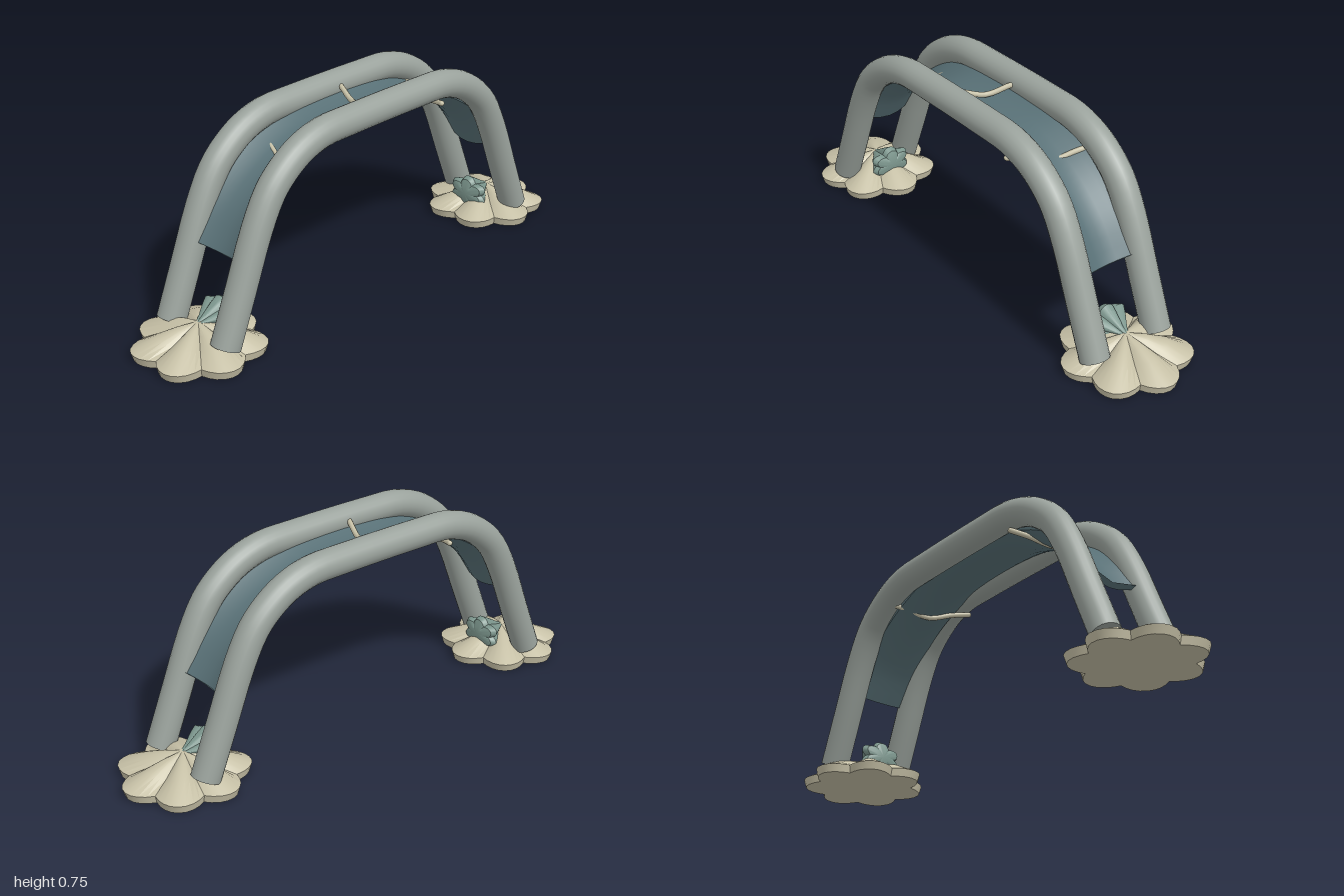
import * as THREE from 'three';
import { toCreasedNormals } from 'three/addons/utils/BufferGeometryUtils.js';

const V = (x, y, z = 0) => new THREE.Vector3(x, y, z);
const paint = (color) => new THREE.MeshStandardMaterial({ color, roughness: 0.9 });

// Skin a list of equal-sized rings (counter-clockwise about the travel direction) and cap both ends
function loft(rings, crease = 0.7) {
  const n = rings[0].length, last = (rings.length - 1) * n;
  const pts = rings.flat(), index = [];
  for (let i = 0; i < rings.length - 1; i++) {
    for (let j = 0; j < n; j++) {
      const a = i * n + j, b = i * n + (j + 1) % n;
      index.push(a, b, b + n, a, b + n, a + n);
    }
  }
  const centre = (ring) => ring.reduce((s, p) => s.add(p), V(0, 0)).divideScalar(n);
  const c0 = pts.push(centre(rings[0])) - 1;
  const c1 = pts.push(centre(rings[rings.length - 1])) - 1;
  for (let j = 0; j < n; j++) {
    const k = (j + 1) % n;
    index.push(c0, k, j, c1, last + j, last + k);
  }
  const geo = new THREE.BufferGeometry().setFromPoints(pts);
  geo.setIndex(index);
  return toCreasedNormals(geo, crease);
}

// Sweep a section of [normal, z] offsets along a path in the xy plane
function sweep(path, steps, section, crease) {
  const curve = new THREE.CatmullRomCurve3(path);
  const rings = [];
  for (let i = 0; i <= steps; i++) {
    const p = curve.getPoint(i / steps), t = curve.getTangent(i / steps);
    rings.push(section.map(([n, z]) => V(p.x - t.y * n, p.y + t.x * n, z)));
  }
  return loft(rings, crease);
}

// Complete a left-half profile with its mirror image
const arch = (half) => [
  ...half.map(([x, y]) => V(x, y)),
  ...half.slice().reverse().map(([x, y]) => V(-x, y)),
];

const TAU = Math.PI * 2;
const lobe = (a, count) => Math.abs(Math.cos(a * count / 2));

// Seven-lobed base with radial ridges rising to a low point
function footGeometry() {
  const layers = [[0.96, 0, 0], [1, 0.03, 0], [0.62, 0.064, 0.018], [0.32, 0.086, 0.012], [0.04, 0.101, 0]];
  return loft(layers.map(([s, y, ridge]) => Array.from({ length: 56 }, (_, j) => {
    const a = j / 56 * TAU, l = lobe(a, 7), r = (0.188 + 0.048 * l) * s;
    return V(r * Math.cos(a), y + ridge * (l - 0.6), -r * Math.sin(a));
  })), 0.4);
}

// Ribbed horn that flares along +x
function budGeometry() {
  const layers = [[-0.09, 0.04], [-0.05, 0.35], [0, 0.8], [0.025, 1], [0.045, 0.85], [0.055, 0.45]];
  return loft(layers.map(([x, s]) => Array.from({ length: 48 }, (_, j) => {
    const a = j / 48 * TAU, r = s * (0.72 + 0.28 * lobe(a + Math.PI / 6, 6));
    return V(x, 0.068 * r * Math.sin(a), -0.09 * r * Math.cos(a)).multiply(V(1, 1, -1));
  }).reverse()), 0.6);
}

export function createModel() {
  const group = new THREE.Group();
  const steel = paint(0x9aa29c), cloth = paint(0x587076), sand = paint(0xc6c0a6), green = paint(0x7d978e);
  const add = (name, geo, mat, x = 0, y = 0, z = 0) => {
    const mesh = new THREE.Mesh(geo, mat);
    mesh.name = name;
    mesh.position.set(x, y, z);
    group.add(mesh);
    return mesh;
  };

  // Twin arched tubes
  const round = Array.from({ length: 20 }, (_, j) => {
    const a = j / 20 * TAU;
    return [0.053 * Math.cos(a), 0.053 * Math.sin(a)];
  });
  const tubePath = arch([[-0.768, 0.06], [-0.69, 0.25], [-0.612, 0.44], [-0.55, 0.55],
    [-0.49, 0.61], [-0.41, 0.66], [-0.31, 0.69], [-0.18, 0.695]]);
  const tube = sweep(tubePath, 45, round, 0.9);
  add('leftSideTube', tube, steel, 0, 0, 0.138);
  add('rightSideTube', tube, steel, 0, 0, -0.138);

  // Sagging sheet slung between the tubes
  const zs = [-0.11, -0.08, -0.04, 0, 0.04, 0.08, 0.11];
  const sag = (z) => 0.028 * (z / 0.1) ** 2;
  const section = [
    ...zs.map((z) => [sag(z) + 0.006, z]),
    ...zs.slice().reverse().map((z) => [sag(z) - 0.006, z]),
  ];
  const sheetPath = arch([[-0.652, 0.318], [-0.575, 0.43], [-0.5, 0.505], [-0.42, 0.56],
    [-0.34, 0.598], [-0.22, 0.638], [-0.09, 0.652]]);
  add('slungSheet', sweep(sheetPath, 40, section, 0.7), cloth);

  // Slanted cross bars resting on the sheet
  for (const [x, low] of [[-0.38, 0.583], [-0.015, 0.678], [0.355, 0.583]]) {
    const path = [[-0.15, 0.037], [-0.085, 0.024], [0, 0], [0.085, 0.024], [0.15, 0.037]]
      .map(([z, rise]) => V(x - 0.38 * z, low + rise, z));
    const curve = new THREE.CatmullRomCurve3(path);
    add('crossBar', new THREE.TubeGeometry(curve, 16, 0.01, 10), sand);
    for (const end of [path[0], path[4]]) {
      add('crossBarEnd', new THREE.SphereGeometry(0.01, 10, 8), sand, end.x, end.y, end.z);
    }
  }

  // Lobed feet, each with a ribbed bud facing inwards
  const foot = footGeometry(), bud = budGeometry();
  for (const side of [1, -1]) {
    add('foot', foot, sand, side * 0.765);
    add('bud', bud, green, side * 0.69, 0.092).rotation.y = side > 0 ? Math.PI : 0;
  }
  return group;
}
